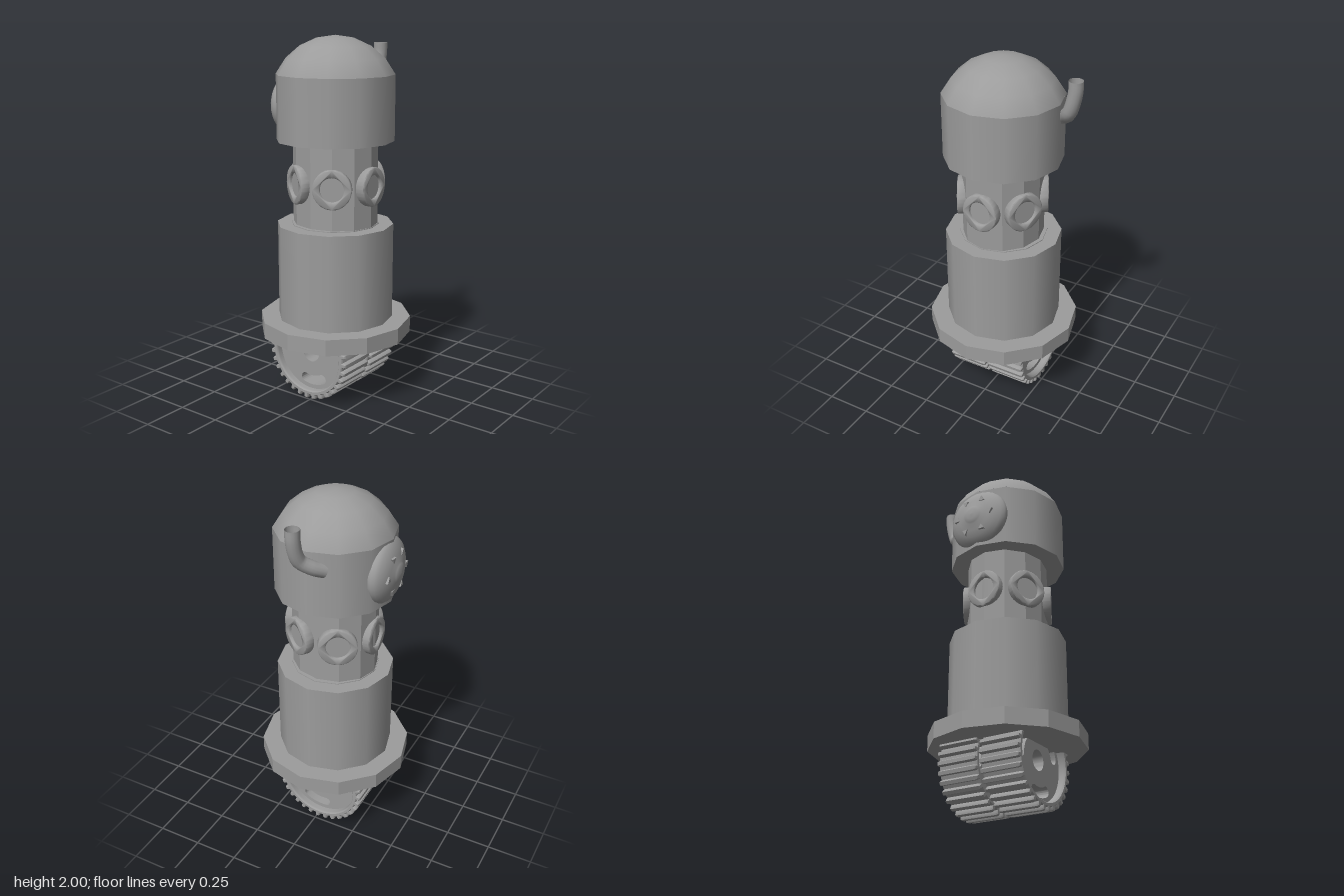
import * as THREE from 'three';
import { toCreasedNormals } from 'three/addons/utils/BufferGeometryUtils.js';

const AXIS_X = -0.013;
const GREY = 0x9c9c9c;
const smooth = new THREE.MeshStandardMaterial({ color: GREY });
const flat = new THREE.MeshStandardMaterial({ color: GREY, flatShading: true });
const open = new THREE.MeshStandardMaterial({ color: GREY, side: THREE.DoubleSide });

function part(parent, name, geometry, material = smooth) {
  const mesh = new THREE.Mesh(geometry, material);
  mesh.name = name;
  parent.add(mesh);
  return mesh;
}

// Upright twelve-sided prism between two heights
function drum(parent, name, radius, y0, y1, material) {
  const mesh = part(parent, name, new THREE.CylinderGeometry(radius, radius, y1 - y0, 12), material);
  mesh.position.y = (y0 + y1) / 2;
  return mesh;
}

function circlePath(radius) {
  return new THREE.Path().absarc(0, 0, radius, 0, Math.PI * 2, true);
}

// Curved slot with round ends, centred on an angle
function slotPath(angle, radius, halfSpan, halfWidth) {
  const a = angle - halfSpan, b = angle + halfSpan;
  const path = new THREE.Path();
  path.absarc(0, 0, radius + halfWidth, a, b, false);
  path.absarc(radius * Math.cos(b), radius * Math.sin(b), halfWidth, b, b + Math.PI, false);
  path.absarc(0, 0, radius - halfWidth, b, a, true);
  path.absarc(radius * Math.cos(a), radius * Math.sin(a), halfWidth, a + Math.PI, a + Math.PI * 2, false);
  return path;
}

// Extrusion of a wheel outline along x, centred, with optional chamfered ends
function axleExtrude(shape, width, chamfer) {
  const g = new THREE.ExtrudeGeometry(shape, {
    depth: width - 2 * chamfer, curveSegments: 24, bevelEnabled: chamfer > 0,
    bevelThickness: chamfer, bevelSize: 0.006, bevelOffset: -0.006, bevelSegments: 2,
  });
  g.translate(0, 0, chamfer - width / 2);
  g.rotateY(Math.PI / 2);
  return toCreasedNormals(g, 0.7);
}

// Toothed rim around a recessed, slotted web
function makeWheel(name, width) {
  const wheel = new THREE.Group();
  wheel.name = name;
  const teeth = 32, step = (Math.PI * 2) / teeth;
  const outline = new THREE.Shape();
  for (let i = 0; i < teeth; i++) {
    [[0, 0.242], [0.4, 0.242], [0.42, 0.256], [0.52, 0.265], [0.88, 0.265], [0.98, 0.256]].forEach(([t, r], k) => {
      const a = (i + t) * step, x = r * Math.cos(a), y = r * Math.sin(a);
      if (i + k === 0) outline.moveTo(x, y);
      else outline.lineTo(x, y);
    });
  }
  outline.closePath();
  outline.holes.push(circlePath(0.216));
  part(wheel, 'toothedRim', axleExtrude(outline, width, 0.014));

  const web = new THREE.Shape().absarc(0, 0, 0.224, 0, Math.PI * 2, false);
  web.holes.push(circlePath(0.055));
  for (const deg of [-102, 18, 138]) {
    web.holes.push(slotPath(THREE.MathUtils.degToRad(deg), 0.165, 0.36, 0.027));
  }
  part(wheel, 'slottedWeb', axleExtrude(web, width - 0.08, 0));
  return wheel;
}

// Porthole rings spaced evenly round the neck
function addPortholes(parent) {
  const portholes = new THREE.Group();
  portholes.name = 'portholes';
  portholes.position.set(0, 1.21, 0.005);
  portholes.scale.x = 0.94;
  const ring = new THREE.Shape().absarc(0, 0, 0.103, 0, Math.PI * 2, false);
  ring.holes.push(circlePath(0.07));
  const ringGeometry = toCreasedNormals(new THREE.ExtrudeGeometry(ring, {
    depth: 0.053, bevelThickness: 0.004, bevelSize: 0.004, bevelSegments: 1, curveSegments: 16,
  }), 0.8);
  ringGeometry.translate(0, 0, 0.2);
  const glassGeometry = new THREE.CircleGeometry(0.072, 32);
  glassGeometry.translate(0, 0, 0.24);
  for (let i = 0; i < 6; i++) {
    const porthole = new THREE.Group();
    porthole.name = 'porthole';
    porthole.rotation.y = (i * Math.PI) / 3;
    part(porthole, 'portholeRing', ringGeometry);
    part(porthole, 'portholeGlass', glassGeometry);
    portholes.add(porthole);
  }
  parent.add(portholes);
}

// Domed cover on the back of the head with a boss and six small studs
function addBackCover(parent) {
  const cover = new THREE.Group();
  cover.name = 'backCover';
  cover.position.set(-0.01, 1.62, -0.28);
  cover.rotation.y = Math.PI;
  const profile = [[0.172, -0.012], [0.178, 0.006], [0.174, 0.024], [0.16, 0.042], [0.13, 0.061],
    [0.095, 0.074], [0.058, 0.082], [0.05, 0.088], [0.03, 0.094], [0, 0.096]];
  const shell = new THREE.LatheGeometry(profile.map(([r, h]) => new THREE.Vector2(r, h)), 32);
  shell.rotateX(Math.PI / 2);
  part(cover, 'coverShell', shell);
  const stud = new THREE.CylinderGeometry(0.02, 0.024, 0.036, 3);
  stud.rotateX(Math.PI / 2);
  for (let i = 0; i < 6; i++) {
    const a = (i * Math.PI) / 3;
    const mesh = part(cover, 'coverStud', stud, flat);
    mesh.position.set(0.105 * Math.cos(a), 0.105 * Math.sin(a), 0.06);
    mesh.rotation.z = a;
  }
  parent.add(cover);
}

// Open bent pipe on the left side of the head
function addPipe(parent) {
  const points = [[0.27, 1.695, -0.085], [0.315, 1.72, -0.05], [0.36, 1.765, 0], [0.38, 1.81, 0.01],
    [0.397, 1.89, 0.013], [0.398, 1.947, 0.013]].map((p) => new THREE.Vector3(...p));
  const curve = new THREE.CatmullRomCurve3(points);
  part(parent, 'pipe', new THREE.TubeGeometry(curve, 16, 0.038, 14, false), open);
}

export function createModel() {
  const model = new THREE.Group();
  model.name = 'wheeledRobot';

  // Everything turned about the main axis
  const trunk = new THREE.Group();
  trunk.name = 'trunk';
  trunk.position.x = AXIS_X;
  model.add(trunk);
  drum(trunk, 'baseFlange', 0.425, 0.355, 0.445, flat);
  drum(trunk, 'body', 0.323, 0.44, 0.98, smooth);
  drum(trunk, 'neck', 0.24, 0.975, 1.445, flat).scale.x = 0.915;
  drum(trunk, 'neckCollar', 0.243, 0.975, 0.984, flat);
  drum(trunk, 'head', 0.323, 1.44, 1.795, smooth);
  addPortholes(trunk);

  // Spherical cap on the head
  const capRadius = 0.357, sweep = Math.asin(0.323 / capRadius);
  const dome = part(trunk, 'dome', new THREE.SphereGeometry(capRadius, 12, 4, 0, Math.PI * 2, 0, sweep));
  dome.position.y = 2 - capRadius;

  addBackCover(model);
  addPipe(model);

  // Twin wheels, the right one turned slightly
  const left = makeWheel('leftWheel', 0.23);
  left.position.set(0.12, 0.265, -0.022);
  const right = makeWheel('rightWheel', 0.23);
  right.position.set(-0.133, 0.265, -0.022);
  right.rotation.x = 0.1;
  model.add(left, right);

  return model;
}
